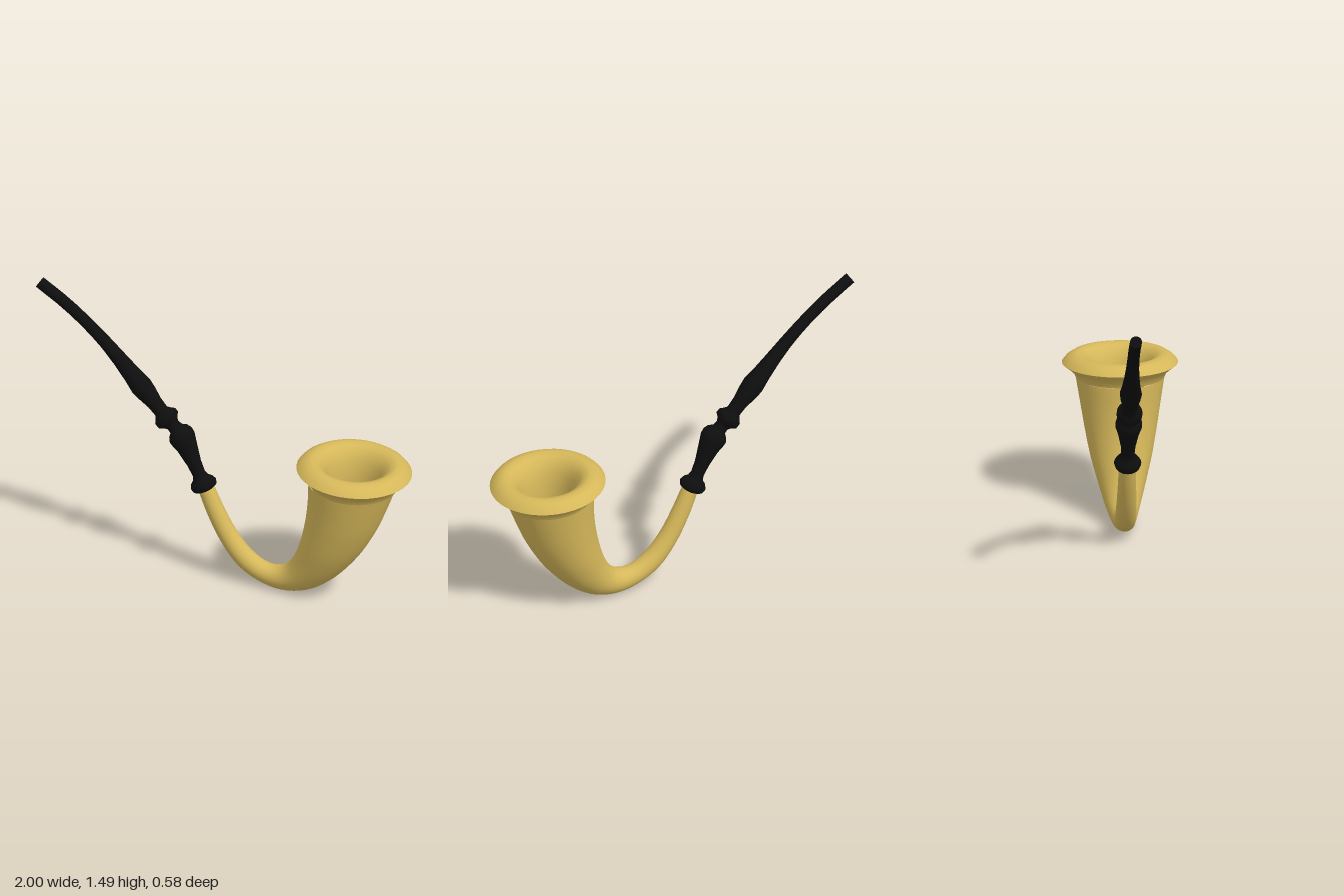
import * as THREE from 'three';

const SIDES = 40;
const Z = new THREE.Vector3(0, 0, 1);

// Skins a row of circular rings; each ring has a centre c, an in-plane direction d and a radius r.
function skin(rings) {
  const pos = [], idx = [];
  rings.forEach(({ c, d, r }, i) => {
    for (let j = 0; j < SIDES; j++) {
      const a = (j / SIDES) * Math.PI * 2;
      const p = c.clone().addScaledVector(d, r * Math.cos(a)).addScaledVector(Z, r * Math.sin(a));
      pos.push(p.x, p.y, p.z);
      if (i === rings.length - 1) continue;
      const k = (j + 1) % SIDES;
      const a0 = i * SIDES + j, a1 = i * SIDES + k;
      idx.push(a0, a1, a0 + SIDES, a1, a1 + SIDES, a0 + SIDES);
    }
  });
  const g = new THREE.BufferGeometry();
  g.setAttribute('position', new THREE.Float32BufferAttribute(pos, 3));
  g.setIndex(idx);
  g.computeVertexNormals();
  return g;
}

const spline = (pts) =>
  new THREE.CatmullRomCurve3(pts.map(([x, y]) => new THREE.Vector3(x, y, 0)));

export function createModel() {
  const group = new THREE.Group();
  const gold = new THREE.MeshStandardMaterial({ color: 0xd6b85a });
  gold.name = 'gold';
  const black = new THREE.MeshStandardMaterial({ color: 0x0e0e0e });
  black.name = 'black';

  const add = (name, geometry, material) => {
    const m = new THREE.Mesh(geometry, material);
    m.name = name;
    group.add(m);
    return m;
  };

  // Curved bowl: rings spanning between the lower and upper outline
  const lower = spline([[-0.125, 0.465], [-0.075, 0.34], [0, 0.2], [0.09, 0.09], [0.2, 0.025], [0.33, 0],
    [0.47, 0.03], [0.6, 0.115], [0.73, 0.26], [0.82, 0.41], [0.88, 0.55], [0.925, 0.67]]);
  const upper = spline([[-0.05, 0.5], [0.005, 0.385], [0.07, 0.27], [0.145, 0.18], [0.22, 0.13], [0.28, 0.118],
    [0.34, 0.14], [0.39, 0.205], [0.43, 0.31], [0.46, 0.44], [0.475, 0.56], [0.48, 0.68]]);
  const bowl = [];
  for (let i = 0; i <= 66; i++) {
    const a = lower.getPoint(i / 66), b = upper.getPoint(i / 66);
    bowl.push({
      c: a.clone().add(b).multiplyScalar(0.5),
      d: b.clone().sub(a).normalize(),
      r: a.distanceTo(b) / 2,
    });
  }
  add('bowl', skin(bowl), gold);

  // Flared rim rolling over into the chamber, slightly tilted
  const outside = [[0.222, -0.075], [0.232, -0.05], [0.255, -0.027], [0.29, 0]];
  const inside = [[0.29, 0], [0.272, 0.022], [0.245, 0.04], [0.215, 0.047], [0.185, 0.038],
    [0.158, 0.012], [0.138, -0.03], [0.126, -0.09], [0.121, -0.16], [0.12, -0.28]];
  const floor = [[0.12, -0.28], [0, -0.28]];
  [['rimUnderside', outside], ['rimAndChamber', inside], ['chamberFloor', floor]].forEach(([name, pts]) => {
    const m = add(name, new THREE.LatheGeometry(pts.map(([x, y]) => new THREE.Vector2(x, y)), SIDES), gold);
    m.position.set(0.71, 0.742, 0);
    m.rotation.z = -0.069;
  });

  // Turned stem: [distance along the axis, radius], swept on a curved axis
  const axis = spline([[-0.09, 0.475], [-0.155, 0.615], [-0.225, 0.755], [-0.305, 0.84], [-0.435, 0.985],
    [-0.64, 1.205], [-0.82, 1.357], [-0.985, 1.465]]);
  const profile = [[0, 0], [0, 0.045], [0.01, 0.062], [0.03, 0.068], [0.05, 0.058], [0.065, 0.041], [0.09, 0.033],
    [0.15, 0.037], [0.24, 0.053], [0.29, 0.066], [0.313, 0.066], [0.333, 0.056], [0.35, 0.037], [0.375, 0.034],
    [0.392, 0.045], [0.408, 0.064], [0.433, 0.064], [0.45, 0.048], [0.465, 0.037], [0.52, 0.039], [0.58, 0.05],
    [0.63, 0.055], [0.7, 0.046], [0.8, 0.038], [0.9, 0.033], [0.98, 0.031], [1.06, 0.03], [1.14, 0.03],
    [1.22, 0.03], [1.3, 0.03], [9, 0.03]];
  const length = axis.getLength();
  const stem = profile.map(([s, r]) => {
    const u = Math.min(s / length, 1);
    return { c: axis.getPointAt(u), d: Z.clone().cross(axis.getTangentAt(u)).normalize(), r };
  });
  add('stem', skin(stem), black);

  // Flat mouthpiece end
  const end = stem[stem.length - 1];
  add('mouthpieceEnd', skin([end, { ...end, r: 0 }]), black);

  return group;
}
